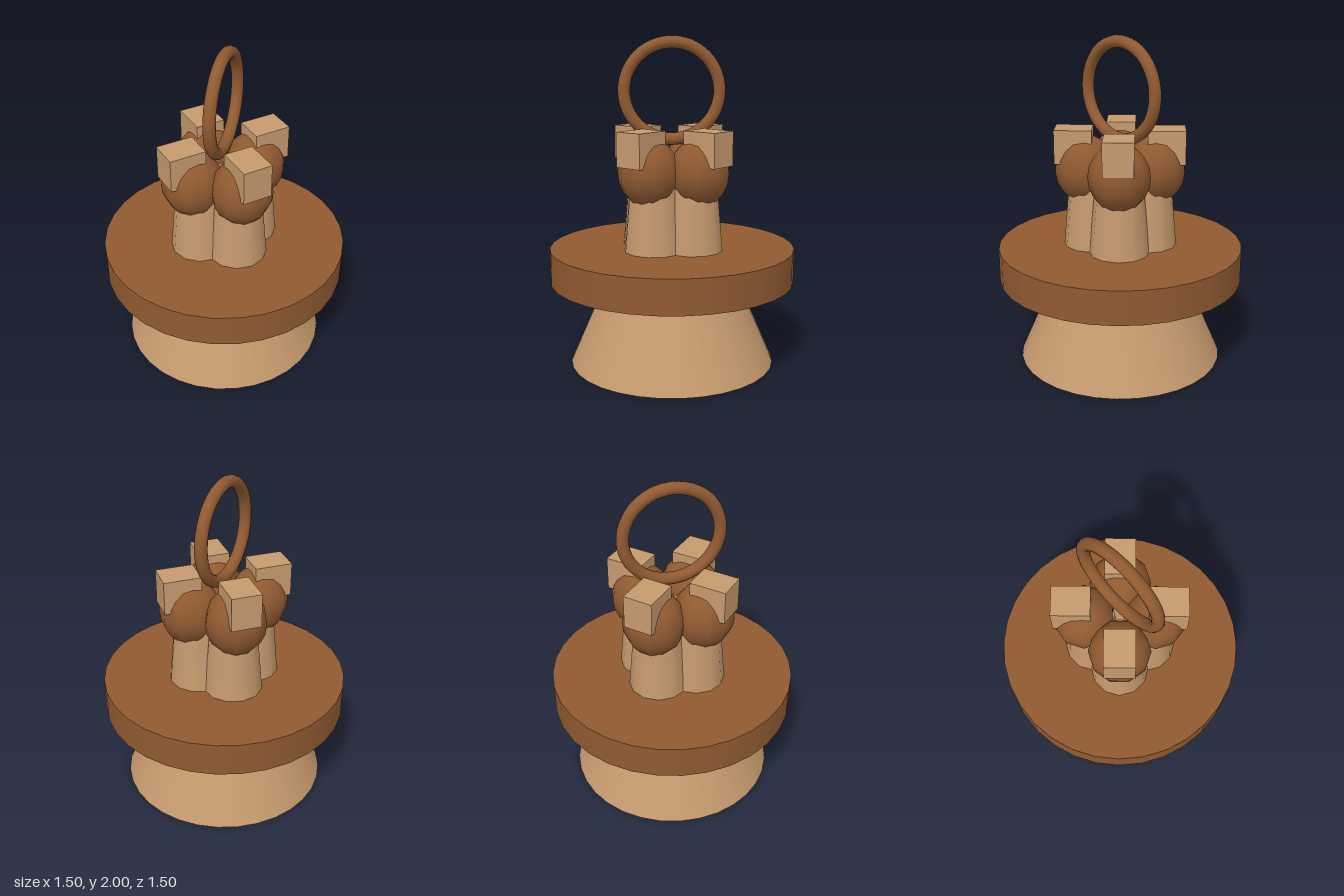
import * as THREE from 'three';

const lightWood = new THREE.MeshStandardMaterial({ color: 0xc69a6e });
const darkWood = new THREE.MeshStandardMaterial({ color: 0x905a31 });

function addPart(parent, name, geometry, material, x = 0, y = 0, z = 0) {
  const mesh = new THREE.Mesh(geometry, material);
  mesh.name = name;
  mesh.position.set(x, y, z);
  parent.add(mesh);
  return mesh;
}

// Tapered cylinder standing between two heights
function taper(rTop, rBottom, y0, y1, sides) {
  return new THREE.CylinderGeometry(rTop, rBottom, y1 - y0, sides).translate(0, (y0 + y1) / 2, 0);
}

export function createModel() {
  const model = new THREE.Group();
  model.name = 'model';

  // Flared foot and wide round plate
  addPart(model, 'foot', taper(0.4, 0.63, 0, 0.53, 32), lightWood);
  addPart(model, 'plate', taper(0.748, 0.748, 0.522, 0.728, 32), darkWood);

  // Four posts around the centre, each with a knob and a block on its outer side
  const post = taper(0.135, 0.183, 0.7, 1.25, 12);
  const knob = new THREE.SphereGeometry(0.185, 10, 10).scale(1, 1.11, 1);
  const block = new THREE.BoxGeometry(0.18, 0.205, 0.225);
  for (let i = 0; i < 4; i++) {
    const arm = new THREE.Group();
    arm.name = 'post' + (i + 1);
    arm.rotation.y = i * Math.PI / 2;
    addPart(arm, 'postShaft', post, lightWood, 0, 0, 0.165);
    addPart(arm, 'postKnob', knob, darkWood, 0, 1.205, 0.212);
    addPart(arm, 'postBlock', block, lightWood, 0, 1.352, 0.278);
    model.add(arm);
  }

  // Upright ring set diagonally between the knobs
  const ring = addPart(model, 'ring', new THREE.TorusGeometry(0.287, 0.037, 12, 48), darkWood, 0, 1.676, 0);
  ring.rotation.y = Math.PI / 4;

  return model;
}
